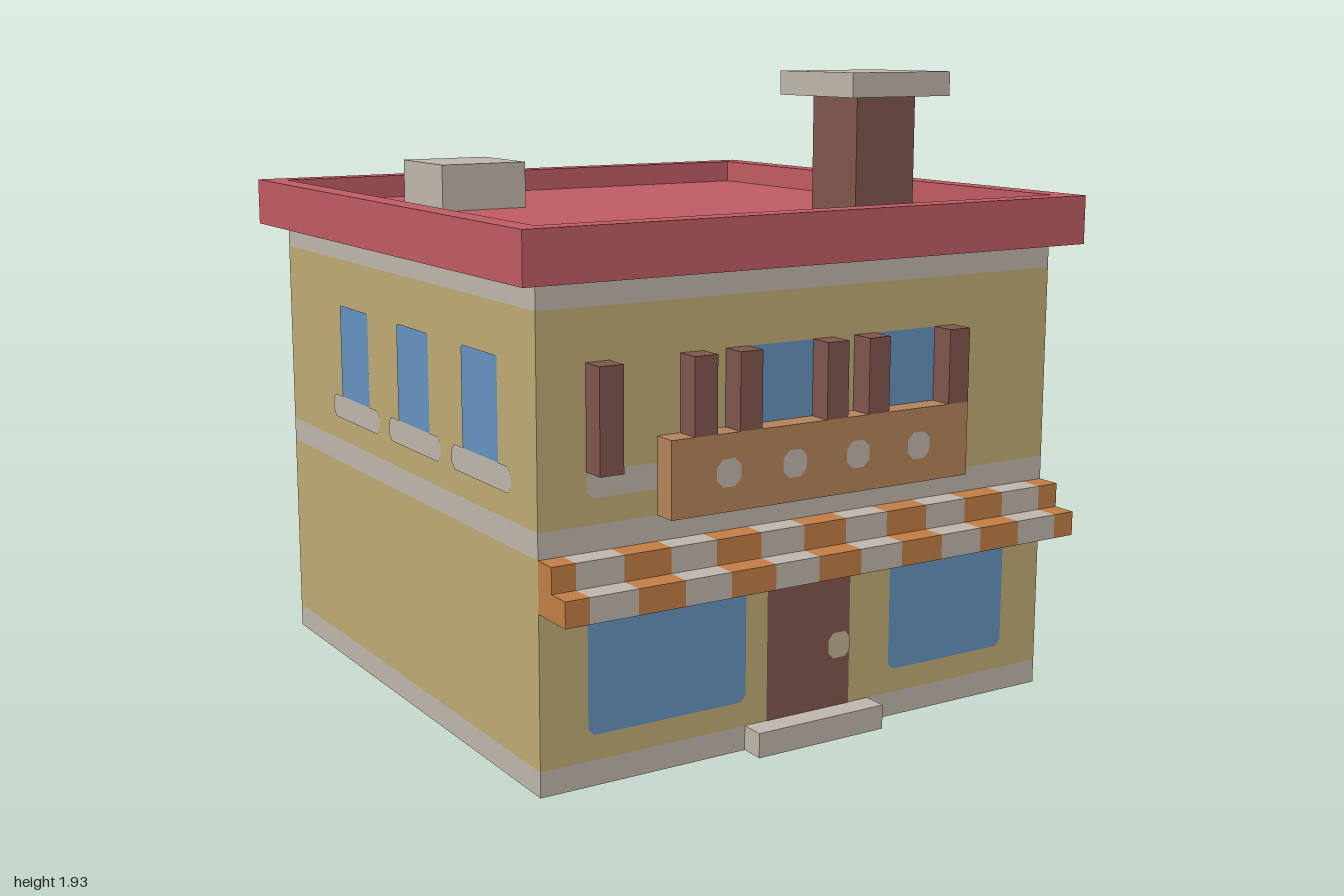
import * as THREE from 'three';

// Grid unit: the building is laid out on a 27-cell grid
const U = 2 / 27;

const mat = (name, color) => {
  const m = new THREE.MeshStandardMaterial({ color });
  m.name = name;
  return m;
};

export function createModel() {
  const root = new THREE.Group();
  root.name = 'shopHouse';

  const wall = mat('wall yellow', 0xbfac74);
  const stone = mat('stone grey', 0xbfb7ac);
  const red = mat('roof red', 0xc05c63);
  const brown = mat('dark brown', 0x80574c);
  const glass = mat('window blue', 0x6593c0);
  const orange = mat('awning orange', 0xc27e45);
  const wood = mat('balcony wood', 0xb5845a);
  const brass = mat('knob beige', 0xc2b294);

  // Box from grid limits; z counts from the back, 0 to 27
  function box(name, material, x0, x1, y0, y1, z0, z1) {
    const g = new THREE.BoxGeometry((x1 - x0) * U, (y1 - y0) * U, (z1 - z0) * U);
    const m = new THREE.Mesh(g, material);
    m.name = name;
    m.position.set((x0 + x1) / 2 * U, (y0 + y1) / 2 * U, ((z0 + z1) / 2 - 13.5) * U);
    root.add(m);
    return m;
  }

  // Flat painted panel with clipped corners, facing +z at the given depth
  function panel(parent, name, material, x0, x1, y0, y1, z, c = 0.25, lift = 0.03) {
    const s = new THREE.Shape([
      [x0 + c, y0], [x1 - c, y0], [x1, y0 + c], [x1, y1 - c],
      [x1 - c, y1], [x0 + c, y1], [x0, y1 - c], [x0, y0 + c],
    ].map(([x, y]) => new THREE.Vector2(x * U, y * U)));
    const m = new THREE.Mesh(new THREE.ShapeGeometry(s), material);
    m.name = name;
    m.position.z = (z + lift) * U;
    parent.add(m);
  }

  // Walls in layers, with stone bands between the storeys
  [
    ['plinth', stone, 0, 1], ['lowerWall', wall, 1, 9], ['middleBand', stone, 9, 10],
    ['upperWall', wall, 10, 18], ['cornice', stone, 18, 19],
  ].forEach(([name, m, y0, y1]) => box(name, m, -12, 12, y0, y1, 1, 25));

  // Roof: raised rim around a sunken deck
  const rect = (C, x, zBack, zFront) => new C([
    [-x, -zFront], [x, -zFront], [x, -zBack], [-x, -zBack],
  ].map(([a, b]) => new THREE.Vector2(a * U, b * U)));
  const rimShape = rect(THREE.Shape, 13, -13.5, 12.5);
  rimShape.holes.push(rect(THREE.Path, 12, -12.5, 11.5));
  const rimGeo = new THREE.ExtrudeGeometry(rimShape, { depth: 2 * U, bevelEnabled: false });
  rimGeo.rotateX(-Math.PI / 2);
  const rim = new THREE.Mesh(rimGeo, red);
  rim.name = 'roofRim';
  rim.position.y = 19 * U;
  root.add(rim);
  box('roofDeck', red, -12, 12, 19, 20, 1, 25);

  // Rooftop vent and chimney
  box('roofVent', stone, -8, -4, 20, 22, 5, 9);
  box('chimney', brown, 5, 8, 20, 25, 18, 21);
  box('chimneyCap', stone, 4, 9, 25, 26, 17, 22);

  // Upper windows with sills on the back and both sides
  function windowRow(name, angle, zOffset, depth, starts) {
    const row = new THREE.Group();
    row.name = name;
    row.rotation.y = angle;
    row.position.z = zOffset * U;
    for (const x of starts) {
      panel(row, 'window', glass, x, x + 3, 12, 16, depth, 0.1);
      panel(row, 'windowSill', stone, x - 1, x + 4, 11, 12, depth, 0.25);
    }
    root.add(row);
  }
  windowRow('backWindows', Math.PI, 0, 12.5, [-6, 0, 6]);
  windowRow('leftWindows', Math.PI / 2, -0.5, 12, [-9, -3, 3]);
  windowRow('rightWindows', -Math.PI / 2, -0.5, 12, [-6, 0, 6]);

  // Front: balcony windows, lone sill, shop windows and door
  for (const x of [-3, 3]) panel(root, 'balconyWindow', glass, x, x + 3, 12, 16, 11.5, 0.1);
  panel(root, 'frontSill', stone, -10, -5, 11, 12, 11.5);
  panel(root, 'shopWindow', glass, -10, -3, 2, 7.1, 11.5);
  panel(root, 'shopWindow', glass, 4, 10, 2, 7.1, 11.5);
  panel(root, 'door', brown, -2, 2, 1, 7.1, 11.5, 0.02);
  panel(root, 'doorKnob', brass, 0.95, 2, 3, 4.05, 11.5, 0.25, 0.06);
  box('doorStep', stone, -3, 3, 0, 1, 25, 26);

  // Shutter posts and balcony with round inlays
  for (const x of [-10, -6, -4, 0, 2, 6]) {
    box('shutter', brown, x, x + 1, x === -10 ? 12 : 13, 16, 25, 26);
  }
  box('balcony', wood, -7, 7, 10, 13, 25, 26);
  for (const x of [-5, -2, 1, 4]) {
    panel(root, 'balconyInlay', stone, x - 0.04, x + 1.04, 10.96, 12.04, 12.5, 0.28);
  }

  // Stepped awning with alternating stripes
  const edges = [-12, -11, -9, -7, -5, -3, -1, 1, 3, 5, 7, 9, 11, 12];
  for (let i = 0; i < edges.length - 1; i++) {
    const m = i % 2 ? stone : orange;
    box('awningUpper', m, edges[i], edges[i + 1], 8, 9, 25, 26);
    box('awningLower', m, edges[i], edges[i + 1], 7, 8, 25, 27);
  }

  return root;
}
